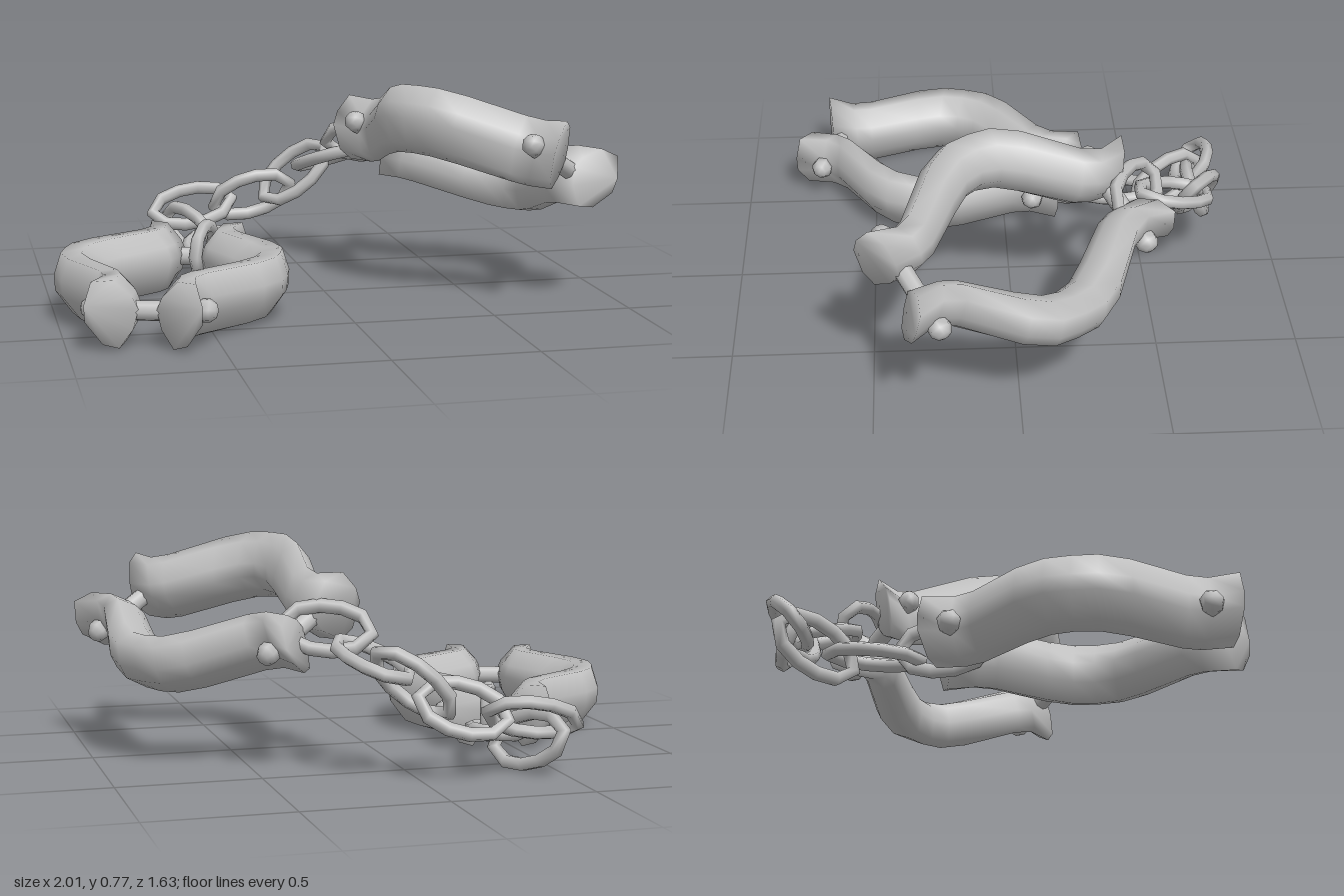
import * as THREE from 'three';

const steel = new THREE.MeshStandardMaterial({ color: 0xc0c0c0 });
steel.name = 'steelGrey';
const V = (x, y, z) => new THREE.Vector3(x, y, z);

// Orients an object so that its local z follows v and its local x follows a as closely as possible
function place(object, centre, a, v) {
  const z = v.clone().normalize();
  const y = z.clone().cross(a).normalize();
  const x = y.clone().cross(z);
  object.quaternion.setFromRotationMatrix(new THREE.Matrix4().makeBasis(x, y, z));
  object.position.copy(centre);
  return object;
}

function part(geometry, name, parent) {
  const mesh = new THREE.Mesh(geometry, steel);
  mesh.name = name;
  parent.add(mesh);
  return mesh;
}

// Half of a cuff: section stations as [outer x, outer z, inner x, inner z]
function cuffBarGeometry() {
  const half = [
    [0.40, 0.09, 0.22, 0.07], [0.35, 0.19, 0.17, 0.15], [0.20, 0.36, 0.06, 0.305],
    [0.17, 0.43, 0.04, 0.36], [0.195, 0.535, 0.03, 0.46],
  ];
  const mirrored = half.map(([a, b, c, d]) => [a, -b, c, -d]).reverse();
  const stations = [...mirrored, [0.405, 0, 0.235, 0], ...half];
  // Cross-section as [inner-to-outer fraction, height]: tall outside, ridged inside
  const section = [
    [1, 0.035], [0.86, 0.113], [0.46, 0.113], [0.12, 0.055], [0, 0.01],
    [0.1, -0.055], [0.36, -0.115], [0.66, -0.098], [0.98, -0.02],
  ];
  const n = section.length, pos = [], idx = [];
  for (const [ox, oz, ix, iz] of stations) {
    for (const [t, y] of section) pos.push(ix + (ox - ix) * t, y, iz + (oz - iz) * t);
  }
  for (let s = 0; s < stations.length - 1; s++) {
    for (let k = 0; k < n; k++) {
      const a = s * n + k, b = s * n + (k + 1) % n;
      idx.push(a, b, b + n, a, b + n, a + n);
    }
  }
  // End caps, softly shaded into the sides
  const last = (stations.length - 1) * n;
  for (let k = 1; k < n - 1; k++) {
    idx.push(0, k + 1, k, last, last + k, last + k + 1);
  }
  const geometry = new THREE.BufferGeometry();
  geometry.setAttribute('position', new THREE.Float32BufferAttribute(pos, 3));
  geometry.setIndex(idx);
  geometry.computeVertexNormals();
  return geometry;
}

function makeCuff(name) {
  const cuff = new THREE.Group();
  cuff.name = name;
  const bar = cuffBarGeometry();
  part(bar, 'cuffBar', cuff);
  // The second bar mirrors the first, keeping the same side up
  part(bar, 'cuffBar', cuff).rotation.y = Math.PI;
  // Pins through both ends, with domed rivet heads
  for (const z of [-0.43, 0.43]) {
    const pin = part(new THREE.CylinderGeometry(0.034, 0.034, 0.36, 8), 'pin', cuff);
    pin.rotation.z = Math.PI / 2;
    pin.position.z = z;
    for (const side of [-1, 1]) {
      const head = part(new THREE.SphereGeometry(0.042, 7, 5), 'rivetHead', cuff);
      head.rotation.z = Math.PI / 2;
      head.position.set(side * 0.188, 0.005, z);
    }
  }
  return cuff;
}

// Oval link lying in its local xz plane, long along z
function linkGeometry() {
  const points = [];
  for (let i = 0; i < 10; i++) {
    const t = (i / 10) * Math.PI * 2;
    points.push(V(0.085 * Math.sin(t), 0, 0.16 * Math.cos(t)));
  }
  const path = new THREE.CatmullRomCurve3(points, true);
  return new THREE.TubeGeometry(path, 10, 0.025, 6, true);
}

export function createModel() {
  const model = new THREE.Group();
  model.name = 'shackles';

  model.add(place(makeCuff('rightCuff'), V(-0.595, 0.125, 0.245), V(0.95, 0, 0.31), V(-0.31, 0, 0.95)));
  model.add(place(makeCuff('leftCuff'), V(0.555, 0.505, 0), V(0.766, -0.46, -0.46), V(0.54, 0, 0.84)));

  // Chain links as centre, width direction, length direction
  const links = [
    [V(-0.41, 0.14, -0.21), V(0, 1, 0), V(0.13, 0, -0.33)],
    [V(-0.355, 0.115, -0.44), V(1, 0.1, 0.2), V(0.08, 0.04, -0.35)],
    [V(-0.40, 0.12, -0.64), V(0, 1, 0.3), V(-0.16, 0.1, -0.28)],
    [V(-0.38, 0.21, -0.73), V(0, 0.7, -0.7), V(0.36, 0.06, 0.03)],
    [V(-0.14, 0.25, -0.71), V(0, 0.9, 0.4), V(0.34, 0.1, 0.04)],
    [V(0.03, 0.34, -0.69), V(-0.4, 0.4, -0.7), V(0.26, 0.22, 0.05)],
    [V(0.14, 0.41, -0.59), V(0.8, 0, -0.5), V(0.18, 0.11, 0.28)],
    [V(0.26, 0.50, -0.44), V(-0.3, 0.8, 0.45), V(0.3, 0.03, 0.17)],
  ];
  const geometry = linkGeometry();
  links.forEach(([centre, width, length]) =>
    place(part(geometry, 'chainLink', model), centre, width, length));

  return model;
}
